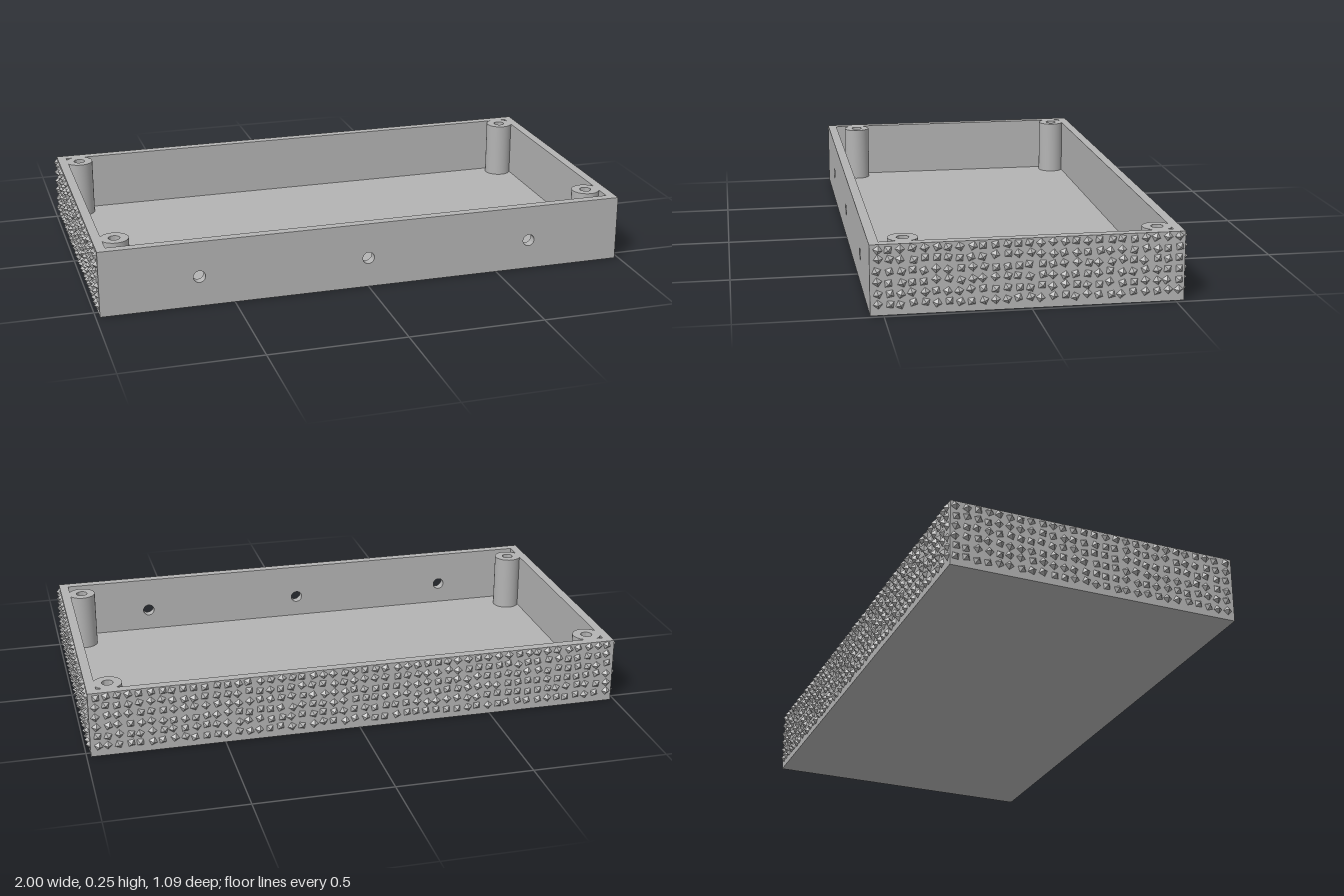
import * as THREE from 'three';
import { mergeGeometries, toCreasedNormals } from 'three/addons/utils/BufferGeometryUtils.js';

const HALF_X = 0.985, FRONT = 0.545, BACK = -0.53, HEIGHT = 0.245;
const WALL = 0.034, FLOOR = 0.03;

// Small repeatable random generator
function seeded(seed) {
  let s = seed;
  return () => (s = (s * 16807) % 2147483647) / 2147483647;
}

export function createModel() {
  const model = new THREE.Group();
  model.name = 'enclosureTray';
  const grey = new THREE.MeshStandardMaterial({ color: 0xb4b4b4 });
  grey.name = 'grey plastic';

  const add = (name, geometry, x = 0, y = 0, z = 0) => {
    const mesh = new THREE.Mesh(geometry, grey);
    mesh.name = name;
    mesh.position.set(x, y, z);
    model.add(mesh);
    return mesh;
  };

  // Floor and three plain walls, which butt against the front wall
  const depth = FRONT - WALL - BACK, midZ = (FRONT - WALL + BACK) / 2;
  const wallH = HEIGHT - FLOOR, wallY = FLOOR + wallH / 2;
  add('floor', new THREE.BoxGeometry(HALF_X * 2, FLOOR, depth), 0, FLOOR / 2, midZ);
  add('backWall', new THREE.BoxGeometry(HALF_X * 2, wallH, WALL), 0, wallY, BACK + WALL / 2);
  for (const [side, name] of [[1, 'leftWall'], [-1, 'rightWall']]) {
    add(name, new THREE.BoxGeometry(WALL, wallH, depth - WALL),
      side * (HALF_X - WALL / 2), wallY, midZ + WALL / 2);
  }

  // Front wall with three round through holes
  const front = new THREE.Shape();
  front.moveTo(-HALF_X, 0).lineTo(HALF_X, 0).lineTo(HALF_X, HEIGHT).lineTo(-HALF_X, HEIGHT).closePath();
  for (const x of [-0.627, 0, 0.627]) {
    front.holes.push(new THREE.Path().absarc(x, 0.112, 0.022, 0, Math.PI * 2, true));
  }
  const frontGeo = new THREE.ExtrudeGeometry(front, { depth: WALL, bevelEnabled: false, curveSegments: 24 });
  add('frontWall', toCreasedNormals(frontGeo, 0.6), 0, 0, FRONT - WALL);

  // Corner screw posts with blind holes
  const profile = [[0.052, FLOOR], [0.052, HEIGHT], [0.021, HEIGHT], [0.021, FLOOR + 0.01], [0, FLOOR + 0.01]]
    .map(([r, y]) => new THREE.Vector2(r, y));
  const postGeo = toCreasedNormals(new THREE.LatheGeometry(profile, 32), 0.6);
  for (const x of [-0.905, 0.905]) {
    for (const z of [-0.45, 0.425]) add('screwPost', postGeo, x, 0, z);
  }

  // Grip texture: rows of small randomly turned square pyramids, pointing along +z
  const random = seeded(4711);
  const spikePanel = (columns, start, end) => {
    const spikes = [];
    for (let row = 0; row < 6; row++) {
      for (let i = 0; i < columns; i++) {
        const spike = new THREE.ConeGeometry(0.0165, 0.015, 4, 1, true).toNonIndexed();
        spike.rotateX(Math.PI / 2);
        spike.rotateZ(random() * Math.PI);
        const u = start + (end - start) * i / (columns - 1) + (random() - 0.5) * 0.009;
        const v = 0.037 + row * 0.0385 + (random() - 0.5) * 0.009;
        spike.translate(u, Math.min(v, 0.229), 0.0075);
        spike.computeVertexNormals();
        spikes.push(spike);
      }
    }
    return mergeGeometries(spikes);
  };
  add('leftGrip', spikePanel(27, -0.52, 0.51), HALF_X, 0, 0).rotation.y = Math.PI / 2;
  add('rightGrip', spikePanel(27, -0.51, 0.52), -HALF_X, 0, 0).rotation.y = -Math.PI / 2;
  add('backGrip', spikePanel(50, -0.96, 0.96), 0, 0, BACK).rotation.y = Math.PI;

  return model;
}
